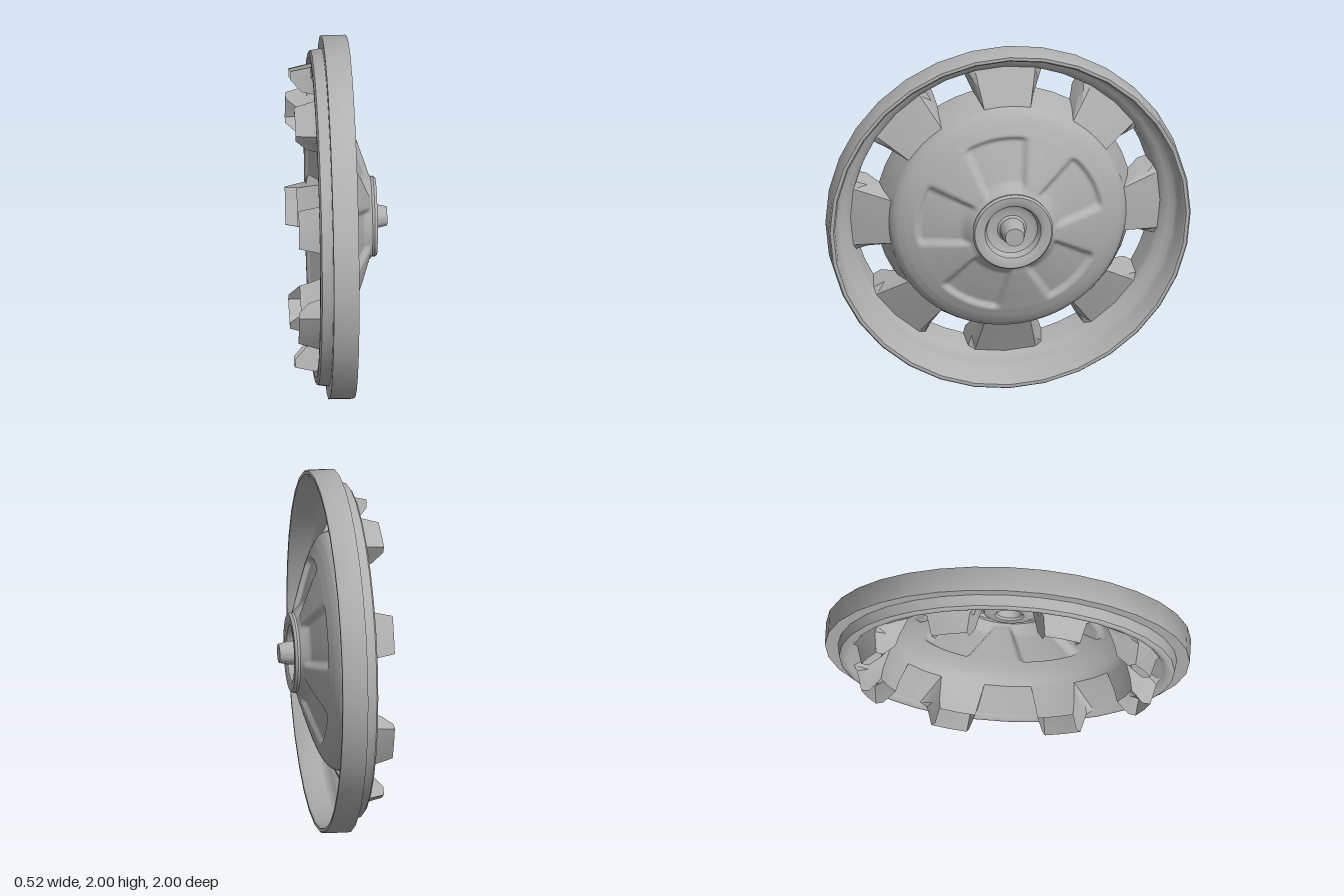
import * as THREE from 'three';
import { toCreasedNormals } from 'three/addons/utils/BufferGeometryUtils.js';

const metal = new THREE.MeshStandardMaterial({ color: 0xb0b0b0, side: THREE.DoubleSide });
metal.name = 'grey metal';

// Point on the wheel: radius, angle (0 = -z, 90 degrees = up), distance along the axle
const polar = (r, a, x) => [x, r * Math.sin(a), -r * Math.cos(a)];
const rad = THREE.MathUtils.degToRad;

function addMesh(parent, name, geometry) {
  const mesh = new THREE.Mesh(geometry, metal);
  mesh.name = name;
  parent.add(mesh);
  return mesh;
}

// Skin rows of points with quads
function skin(rows, closed) {
  const n = rows[0].length, index = [];
  for (let i = 0; i < rows.length - 1; i++) {
    for (let j = 0; j < (closed ? n : n - 1); j++) {
      const k = (j + 1) % n;
      const a = i * n + j, b = i * n + k, c = a + n, d = b + n;
      index.push(a, c, b, b, c, d);
    }
  }
  const g = new THREE.BufferGeometry();
  g.setAttribute('position', new THREE.Float32BufferAttribute(rows.flat(2), 3));
  g.setIndex(index);
  g.computeVertexNormals();
  return g;
}

// Revolve a profile of [radius, x] about the axle
function revolve(profile, segments, crease = 0.6) {
  const g = new THREE.LatheGeometry(profile.map(([r, x]) => new THREE.Vector2(r, x)), segments);
  g.rotateZ(-Math.PI / 2);
  return toCreasedNormals(g, crease);
}

// Dome height, linear between profile points
const domeProfile = [[0.22, 0.172], [0.24, 0.16], [0.27, 0.152], [0.4, 0.108], [0.52, 0.064],
  [0.58, 0.037], [0.62, 0.013], [0.645, -0.012], [0.655, -0.035]];
function domeX(r) {
  const i = Math.max(1, domeProfile.findIndex(p => p[0] >= r - 1e-6));
  const [r0, x0] = domeProfile[i - 1], [r1, x1] = domeProfile[i];
  return x0 + (x1 - x0) * (r - r0) / (r1 - r0);
}

// Depth of the five fan-shaped recesses
function recess(r, a) {
  const step = rad(72);
  const off = Math.abs(THREE.MathUtils.euclideanModulo(a - rad(27) + step / 2, step) - step / 2);
  const halfWidth = 0.12 + (r - 0.26) * 0.24;
  const side = 1 - THREE.MathUtils.smoothstep(r * Math.sin(off), halfWidth - 0.03, halfWidth + 0.005);
  const outer = 1 - THREE.MathUtils.smoothstep(r, 0.485, 0.525);
  const inner = THREE.MathUtils.smoothstep(r, 0.22, 0.28);
  return 0.03 * side * outer * inner;
}

function domeGeometry() {
  const rows = [], segments = 192, rings = 48;
  for (let i = 0; i <= rings; i++) {
    const r = 0.22 + 0.435 * i / rings, row = [];
    for (let j = 0; j < segments; j++) {
      const a = 2 * Math.PI * j / segments;
      row.push(polar(r, a, domeX(r) - recess(r, a)));
    }
    rows.push(row);
  }
  return skin(rows, true);
}

// Closed loop round a pocket: inner edge, side point, outer edge, side point
function pocketLoop(centre, inner, middle, outer) {
  const at = ([r, x, half], s) => polar(r, centre + s * half / r, x);
  return [at(inner, -1), at(inner, 0), at(inner, 1), at(middle, 1),
    at(outer, 1), at(outer, 0), at(outer, -1), at(middle, -1)];
}

export function createModel() {
  const group = new THREE.Group();
  group.name = 'wheelCover';

  // Outer rim with lip, stepped back and inner wall
  addMesh(group, 'rim', revolve([
    [0.855, -0.13], [0.88, -0.15], [0.905, -0.15], [0.92, -0.14], [0.93, -0.08], [1, -0.08],
    [1, 0.05], [0.993, 0.06], [0.975, 0.06], [0.965, 0.05], [0.945, -0.05], [0.93, -0.075],
    [0.9, -0.09], [0.87, -0.11], [0.855, -0.13],
  ], 32, 0.75));

  addMesh(group, 'dome', domeGeometry());

  // Hub collar with a sunken centre and a short peg
  addMesh(group, 'hub', revolve([
    [0.22, 0.172], [0.222, 0.185], [0.212, 0.2], [0.17, 0.2], [0.155, 0.19], [0.14, 0.15],
    [0.125, 0.14], [0.08, 0.14], [0.068, 0.15], [0.064, 0.21], [0.052, 0.26], [0, 0.26],
  ], 48));

  // Sloping floor bridges and open clip pockets between dome and rim
  const half = rad(11.25), mouthIn = 0.655, mouthOut = 0.855;
  for (let i = 0; i < 8; i++) {
    const centre = rad(22.5 + 45 * i);
    const bridge = [mouthIn, 0.755, mouthOut].map((r, k) =>
      [1, 2, 3].map(s => polar(r, centre + s * half, -0.035 - 0.0475 * k)));
    addMesh(group, 'bridge', skin(bridge, false));

    const pocket = skin([
      pocketLoop(centre, [mouthIn, -0.035, mouthIn * half], [0.755, -0.0825, 0.755 * half],
        [mouthOut, -0.13, mouthOut * half]),
      pocketLoop(centre, [0.695, -0.14, 0.115], [0.78, -0.145, 0.122], [0.845, -0.15, 0.128]),
      pocketLoop(centre, [0.708, -0.2, 0.105], [0.775, -0.26, 0.1], [0.82, -0.26, 0.105]),
    ], true);
    addMesh(group, 'clipPocket', toCreasedNormals(pocket, 0.5));
  }
  // Stand the wheel on the ground
  group.children.forEach(m => { m.position.y = 1; });
  return group;
}
